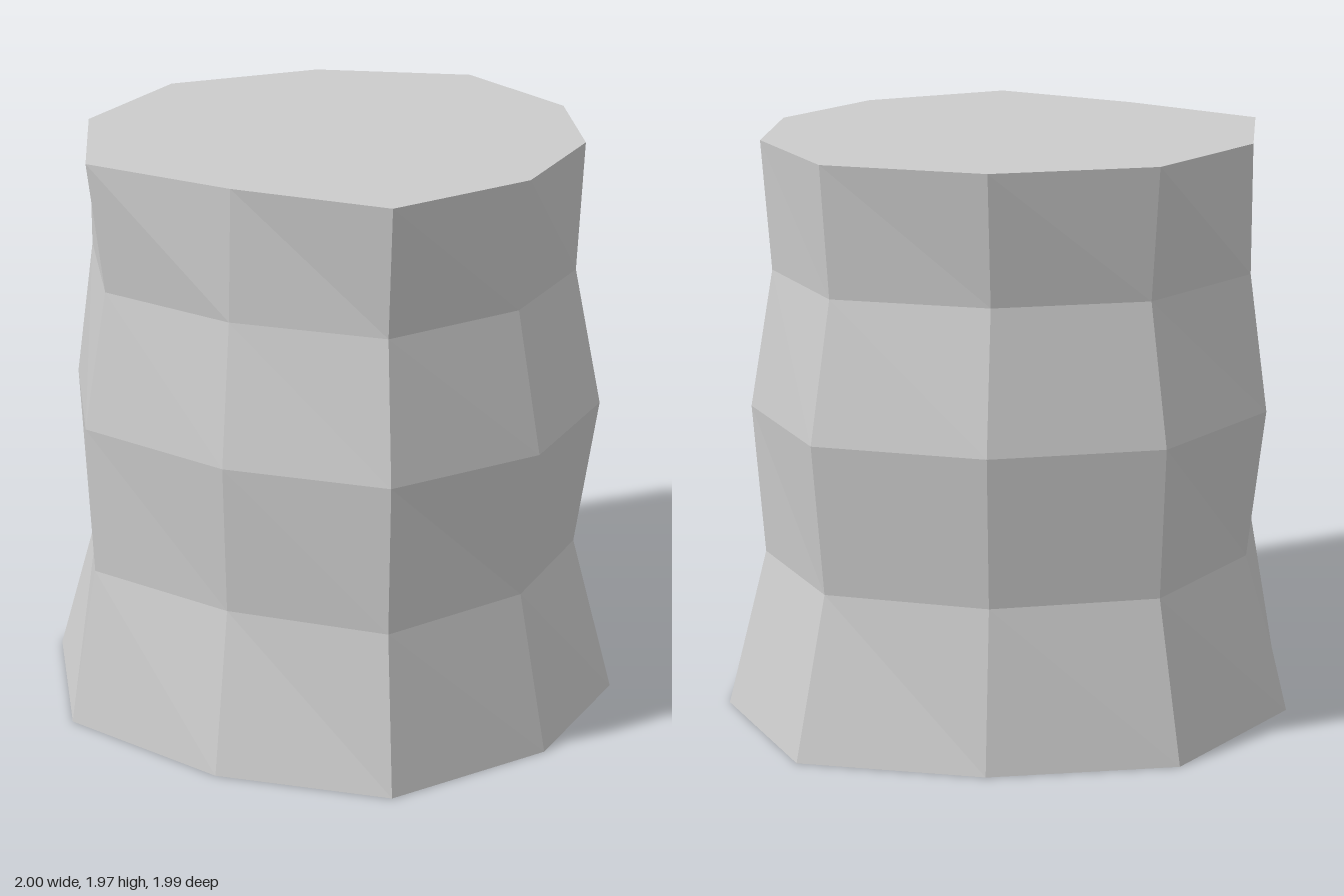
import * as THREE from 'three';

// Ten-sided cross-sections, each corner as [x, z], going counterclockwise seen from above
const rings = [
  { y: 0, pts: [[1, 0.02], [0.85, -0.55], [0.4, -1], [-0.23, -0.91], [-0.8, -0.61],
    [-1, 0.02], [-0.79, 0.64], [-0.22, 0.94], [0.38, 0.99], [0.83, 0.57]] },
  { y: 0.545, pts: [[0.855, 0.02], [0.73, -0.48], [0.35, -0.86], [-0.21, -0.82], [-0.7, -0.53],
    [-0.845, 0.02], [-0.71, 0.58], [-0.2, 0.82], [0.35, 0.905], [0.73, 0.51]] },
  { y: 1.06, pts: [[0.93, 0.02], [0.77, -0.485], [0.37, -0.905], [-0.22, -0.865], [-0.725, -0.56],
    [-0.905, 0.02], [-0.725, 0.59], [-0.2, 0.86], [0.36, 0.93], [0.785, 0.55]] },
  { y: 1.53, pts: [[0.835, 0.02], [0.7, -0.445], [0.335, -0.815], [-0.2, -0.77], [-0.65, -0.5],
    [-0.84, 0.02], [-0.655, 0.55], [-0.19, 0.78], [0.335, 0.85], [0.7, 0.49]] },
  { y: 1.97, pts: [[0.855, 0.02], [0.73, -0.455], [0.35, -0.845], [-0.21, -0.825], [-0.68, -0.52],
    [-0.84, 0.02], [-0.7, 0.58], [-0.18, 0.78], [0.355, 0.905], [0.73, 0.51]] },
];
const SIDES = 10;

// Corner i of a ring as a 3D point
const corner = (ring, i) => {
  const [x, z] = ring.pts[i % SIDES];
  return [x, ring.y, z];
};

// Unindexed triangles give every facet its own flat normal
function facets(triangles) {
  const geometry = new THREE.BufferGeometry();
  geometry.setAttribute('position', new THREE.Float32BufferAttribute(triangles.flat(2), 3));
  geometry.computeVertexNormals();
  return geometry;
}

// Side bands between neighbouring rings, split from upper left to lower right
function wallGeometry() {
  const triangles = [];
  for (let r = 0; r < rings.length - 1; r++) {
    for (let i = 0; i < SIDES; i++) {
      const a = corner(rings[r], i), b = corner(rings[r], i + 1);
      const c = corner(rings[r + 1], i + 1), d = corner(rings[r + 1], i);
      triangles.push([a, b, d], [b, c, d]);
    }
  }
  return facets(triangles);
}

// Flat end closed by a fan from the middle
function capGeometry(ring, facingUp) {
  const middle = [0, ring.y, 0];
  const triangles = [];
  for (let i = 0; i < SIDES; i++) {
    const a = corner(ring, i), b = corner(ring, i + 1);
    triangles.push(facingUp ? [middle, a, b] : [middle, b, a]);
  }
  return facets(triangles);
}

export function createModel() {
  const group = new THREE.Group();
  group.name = 'facetedColumn';
  const stone = new THREE.MeshStandardMaterial({ color: 0xcccccc, flatShading: true });
  stone.name = 'paleGrey';

  const add = (name, geometry) => {
    const mesh = new THREE.Mesh(geometry, stone);
    mesh.name = name;
    group.add(mesh);
  };
  add('columnWall', wallGeometry());
  add('topFace', capGeometry(rings[rings.length - 1], true));
  add('bottomFace', capGeometry(rings[0], false));
  return group;
}
